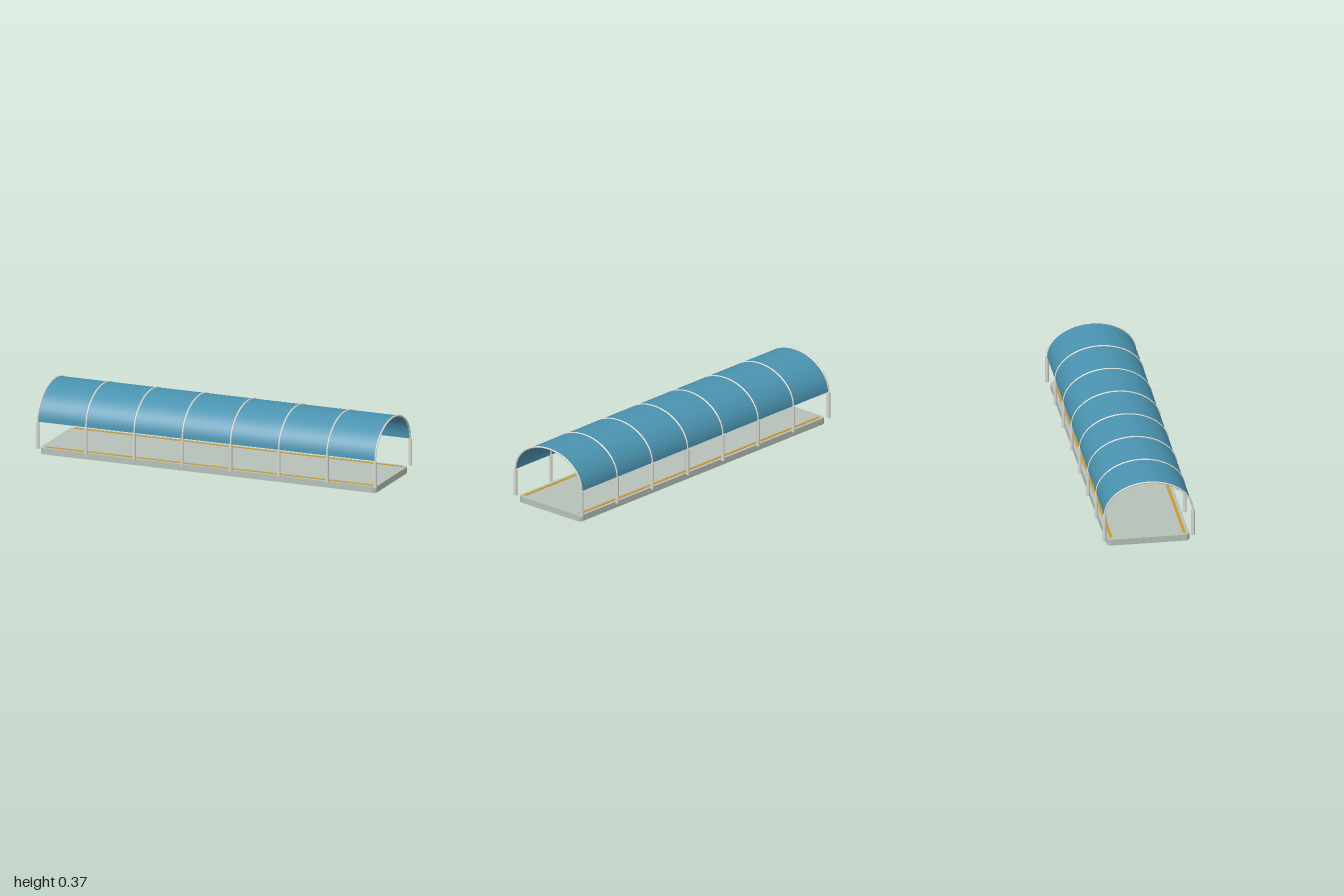
import * as THREE from 'three';

const HALF_X = 0.99, RZ = 0.242, RY = 0.182, SPRING = 0.185, DECK = 0.035;

const paint = (color, extra = {}) => {
  const m = new THREE.MeshStandardMaterial({ color });
  return Object.assign(m, extra);
};

// Point on the roof ellipse; t runs from 0 (front edge) to 1 (back edge)
const archPoint = (t, x = 0) =>
  new THREE.Vector3(x, SPRING + RY * Math.sin(Math.PI * t), RZ * Math.cos(Math.PI * t));

function add(parent, name, geometry, material, x = 0, y = 0, z = 0) {
  const mesh = new THREE.Mesh(geometry, material);
  mesh.name = name;
  mesh.position.set(x, y, z);
  parent.add(mesh);
  return mesh;
}

// Rectangular slab with rounded plan corners
function slabGeometry(hx, hz, r, height) {
  const s = new THREE.Shape();
  s.absarc(hx - r, hz - r, r, 0, Math.PI / 2);
  s.absarc(-hx + r, hz - r, r, Math.PI / 2, Math.PI);
  s.absarc(-hx + r, -hz + r, r, Math.PI, Math.PI * 1.5);
  s.absarc(hx - r, -hz + r, r, Math.PI * 1.5, Math.PI * 2);
  return new THREE.ExtrudeGeometry(s, { depth: height, bevelEnabled: false, curveSegments: 8 })
    .rotateX(-Math.PI / 2);
}

// Thin open vault, lofted along x
function canopyGeometry(segments) {
  const g = new THREE.PlaneGeometry(1, 1, segments, 1);
  const p = g.attributes.position;
  for (let i = 0; i < p.count; i++) {
    const v = archPoint(0.5 - p.getX(i), p.getY(i) * 2 * HALF_X);
    p.setXYZ(i, v.x, v.y, v.z);
  }
  g.computeVertexNormals();
  return g;
}

export function createModel() {
  const model = new THREE.Group();
  model.name = 'coveredWalkway';
  const metal = paint(0xd9d9d2);
  const concrete = paint(0xb7c1b8);
  const yellow = paint(0xc99a35);
  const blue = paint(0x4a93b0, { side: THREE.DoubleSide });

  // Floor with an edge line along each side
  add(model, 'platform', slabGeometry(0.986, 0.226, 0.026, DECK), concrete);
  for (const side of [1, -1])
    add(model, 'edgeLine', new THREE.BoxGeometry(1.92, 0.0025, 0.016), yellow,
      0, DECK + 0.00125, side * 0.2);

  // Roof sheet
  add(model, 'canopy', canopyGeometry(32), blue);

  // Eight frames: two posts and a segmented hoop
  const postHeight = SPRING - DECK;
  const post = new THREE.CylinderGeometry(0.01, 0.01, postHeight, 12);
  const steps = 16;
  for (let i = 0; i < 8; i++) {
    const frame = new THREE.Group();
    frame.name = 'frame';
    frame.position.x = -HALF_X + (2 * HALF_X * i) / 7;
    for (const side of [1, -1])
      add(frame, 'post', post, metal, 0, DECK + postHeight / 2, side * RZ);
    const hoop = new THREE.CurvePath();
    for (let k = 0; k < steps; k++)
      hoop.add(new THREE.LineCurve3(archPoint(k / steps), archPoint((k + 1) / steps)));
    for (const line of hoop.curves) {
      const dir = line.v2.clone().sub(line.v1);
      const rod = add(frame, 'hoopSegment',
        new THREE.CylinderGeometry(0.005, 0.005, dir.length() + 0.001, 8), metal);
      rod.position.copy(line.v1).addScaledVector(dir, 0.5);
      rod.quaternion.setFromUnitVectors(new THREE.Vector3(0, 1, 0), dir.normalize());
    }
    model.add(frame);
  }
  return model;
}
